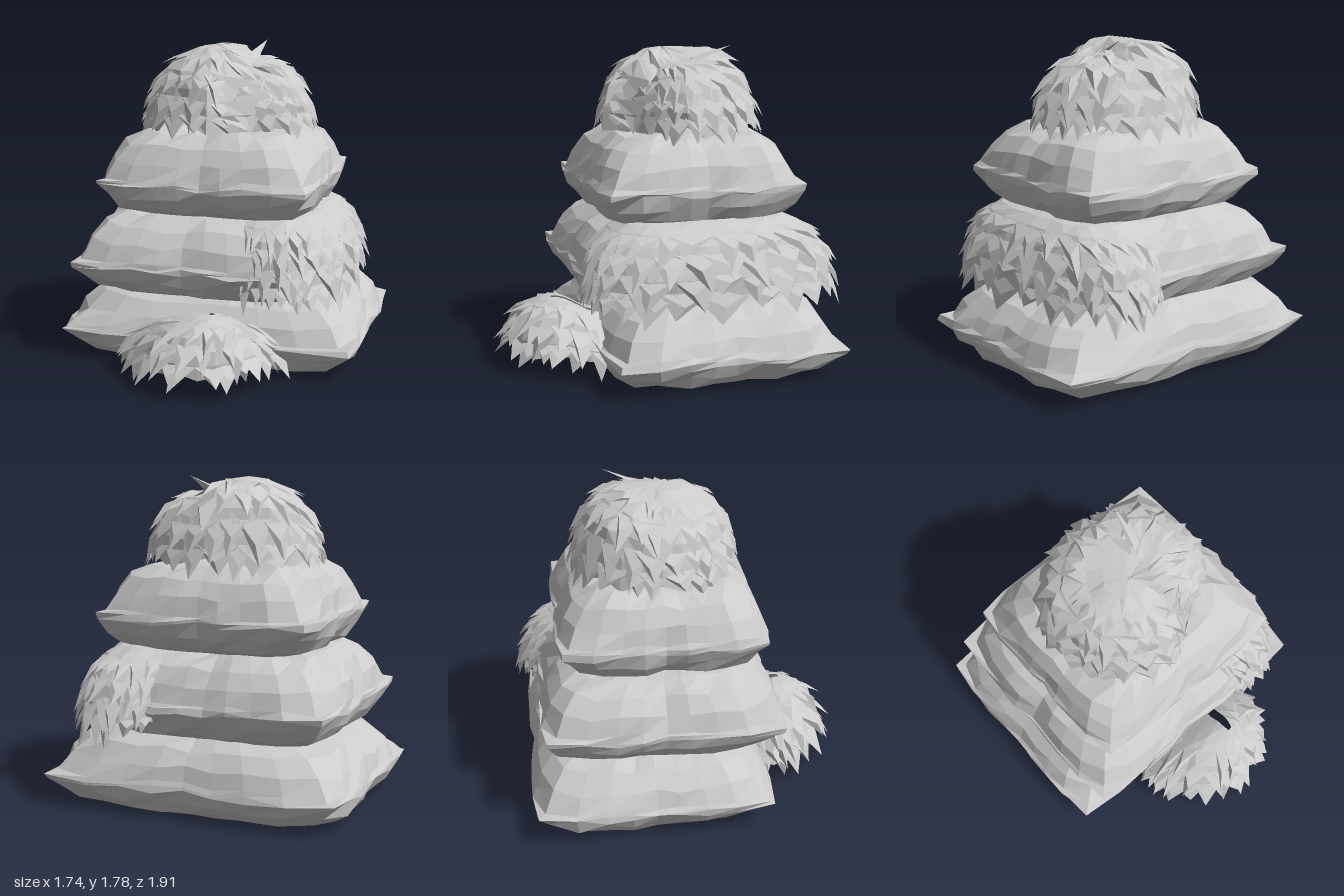
import * as THREE from 'three';

const material = new THREE.MeshStandardMaterial({ color: 0xcccccc, flatShading: true, side: THREE.DoubleSide });
const { smoothstep, clamp } = THREE.MathUtils;

// Small seeded random generator
function seeded(seed) {
  return () => {
    seed = (seed * 16807) % 2147483647;
    return seed / 2147483647;
  };
}

function makeMesh(name, positions, indices) {
  const geometry = new THREE.BufferGeometry();
  geometry.setAttribute('position', new THREE.Float32BufferAttribute(positions, 3));
  if (indices) geometry.setIndex(indices);
  geometry.computeVertexNormals();
  const mesh = new THREE.Mesh(geometry, material);
  mesh.name = name;
  return mesh;
}

// Cushion rings: height fraction, footprint scale, squareness
const CUSHION = [
  [0.02, 0, 4], [0, 0.5, 4], [0, 0.78, 5], [0.07, 0.89, 6], [0.2, 0.955, 8],
  [0.35, 0.99, 18], [0.39, 0.99, 18], [0.45, 0.965, 9], [0.64, 0.92, 6], [0.83, 0.83, 5],
  [0.95, 0.68, 4.5], [1, 0.4, 4], [1, 0, 4],
];

// Plump square cushion with a pinched seam, pointed corners and a crease in each side
function cushion(name, cx, cz, hx, hz, y0, height, seed) {
  const random = seeded(seed), segments = 32, positions = [], indices = [];
  CUSHION.forEach(([f, scale, n], j) => {
    for (let i = 0; i < segments; i++) {
      const a = (i / segments) * Math.PI * 2, c = Math.cos(a), s = Math.sin(a);
      const square = Math.pow(Math.abs(c) ** n + Math.abs(s) ** n, -1 / n);
      const crease = i % 8 === 0 ? 0.975 : 1;
      const wobble = 1 + (random() - 0.5) * 0.028;
      const r = scale * square * crease * wobble;
      const sag = scale > 0.2 && f > 0 ? (random() - 0.5) * 0.035 : 0;
      positions.push(cx + hx * r * c, y0 + f * height + sag, cz + hz * r * s);
      if (j < CUSHION.length - 1) {
        const p = j * segments + i, q = j * segments + ((i + 1) % segments);
        indices.push(p, p + segments, q, q, p + segments, q + segments);
      }
    }
  });
  return makeMesh(name, positions, indices);
}

// Fur draped from an inner plan path [x, z] to an outer one, with rows of pointed locks
function fur(name, { inner, outer, top, drop, closed = false, columns, rows, length, lift, seed, shape }) {
  const random = seeded(seed);
  const toCurve = (path) => new THREE.CatmullRomCurve3(path.map(([x, z]) => new THREE.Vector3(x, 0, z)), closed);
  const from = toCurve(inner), to = toCurve(outer);
  const point = (u, v, out = 0) => {
    u = closed ? (u + 1) % 1 : clamp(u, 0, 1);
    const a = from.getPoint(u), b = to.getPoint(u);
    const direction = b.clone().sub(a).normalize();
    const angle = Math.min(v, 1) * Math.PI / 2, extra = Math.max(0, v - 1);
    const p = a.lerp(b, Math.sin(angle));
    p.y = top - drop * (1 - Math.cos(angle)) - drop * extra * 1.1;
    p.addScaledVector(direction, out);
    shape(p);
    return p;
  };
  const group = new THREE.Group();
  group.name = name;

  // Underlying coat
  const steps = 6, coat = [], indices = [];
  for (let j = 0; j <= steps; j++) {
    for (let i = 0; i <= columns; i++) {
      const ragged = j === steps ? (random() - 0.5) * 0.12 : 0;
      const wave = i === 0 || i === columns ? 0 : (random() - 0.5) * 0.03;
      coat.push(...point(i / columns, j / steps + ragged, wave));
      if (j < steps && i < columns) {
        const p = j * (columns + 1) + i, q = p + columns + 1;
        indices.push(p, q, p + 1, p + 1, q, q + 1);
      }
    }
  }
  group.add(makeMesh(name + 'Coat', coat, indices));

  // Ridged locks with free tips
  const locks = [];
  for (const v of rows) {
    for (let i = 0; i < columns; i++) {
      const u = (i + 0.2 + random() * 0.6) / columns, half = (0.6 + random() * 0.4) / columns;
      const reach = length * (0.5 + random() * 0.7);
      const left = point(u - half, v), right = point(u + half, v);
      const ridge = point(u, v + reach * 0.45, lift * 0.7);
      const tip = point(u + (random() - 0.5) * half, v + reach, lift * (0.4 + random()));
      for (const p of [left, tip, ridge, ridge, tip, right, left, ridge, right]) locks.push(...p);
    }
  }
  group.add(makeMesh(name + 'Locks', locks));
  return group;
}

// Closed elliptical plan path
function ring(cx, cz, rx, rz) {
  return Array.from({ length: 16 }, (_, i) => {
    const a = (i / 16) * Math.PI * 2;
    return [cx + rx * Math.cos(a), cz + rz * Math.sin(a)];
  });
}

// Parting that splits the top tuft into a front lobe and a lower, fuller one set back
function parting(p) {
  const groove = Math.exp(-(((p.x - 0.1) / 0.05) ** 2));
  const side = smoothstep(p.x, 0.04, 0.16);
  const upper = smoothstep(p.y, 1.35, 1.6);
  p.y += upper * (0.07 * smoothstep(-p.z, 0.15, 0.45) + 0.03 * smoothstep(p.x, 0.15, 0.35) - 0.04 * groove - 0.04 * side);
  if (p.z > -0.15) p.z -= (p.z + 0.15) * (0.28 * side + 0.08 * groove);
}

export function createModel() {
  const model = new THREE.Group();
  model.name = 'cushionStack';

  // Three stacked cushions
  model.add(cushion('bottomCushion', 0, -0.24, 0.87, 0.67, 0.01, 0.43, 11));
  model.add(cushion('middleCushion', -0.09, -0.17, 0.68, 0.67, 0.41, 0.46, 23));
  model.add(cushion('upperCushion', -0.01, -0.16, 0.63, 0.58, 0.86, 0.47, 37));

  // Rounded tuft on top
  model.add(fur('topTuft', {
    inner: ring(-0.04, -0.08, 0.01, 0.01), outer: ring(0, -0.16, 0.48, 0.44), closed: true,
    top: 1.78, drop: 0.44, columns: 24, rows: [0.3, 0.52, 0.74, 0.88], length: 0.27, lift: 0.04, seed: 51, shape: parting,
  }));

  // Stray lock standing up at the back of the top tuft
  model.add(makeMesh('strayLock', [
    0.05, 1.67, -0.12, 0.16, 1.67, -0.16, 0.11, 1.73, -0.22,
    0.11, 1.73, -0.22, 0.16, 1.67, -0.16, 0.16, 1.79, -0.42,
    0.05, 1.67, -0.12, 0.11, 1.73, -0.22, 0.16, 1.79, -0.42,
  ]));

  // Fur hanging over one side of the middle cushion, its ends tucked against it
  model.add(fur('sideFur', {
    inner: [[0.24, 0.2], [0.4, 0.2], [0.5, 0.08], [0.53, -0.2], [0.5, -0.44], [0.4, -0.55], [0.2, -0.55]],
    outer: [[0.22, 0.42], [0.38, 0.48], [0.57, 0.45], [0.72, 0.22], [0.75, -0.2], [0.71, -0.62], [0.58, -0.87], [0.38, -0.91], [0.2, -0.82]],
    top: 0.88, drop: 0.37, columns: 19, rows: [0.35, 0.58, 0.78, 0.95], length: 0.36, lift: 0.05, seed: 77,
    shape: (p) => { p.y = Math.max(p.y, 0.36); },
  }));

  // Fan of fur spilling from a ridge at the front
  model.add(fur('frontTuft', {
    inner: [[0.12, 0.26], [0.12, 0.42], [0.12, 0.54], [0.13, 0.62], [0.15, 0.62], [0.16, 0.54], [0.17, 0.42], [0.18, 0.26]],
    outer: [[-0.32, 0.36], [-0.38, 0.5], [-0.28, 0.65], [-0.08, 0.82], [0.12, 0.84], [0.29, 0.74], [0.38, 0.57], [0.46, 0.36]],
    top: 0.41, drop: 0.29, columns: 14, rows: [0.3, 0.6, 0.85], length: 0.42, lift: 0.07, seed: 95,
    shape: (p) => { p.y = Math.max(0.02, p.y - 0.1 * smoothstep(-p.z, -0.6, -0.36) * smoothstep(p.y, 0.1, 0.3)); },
  }));

  return model;
}
